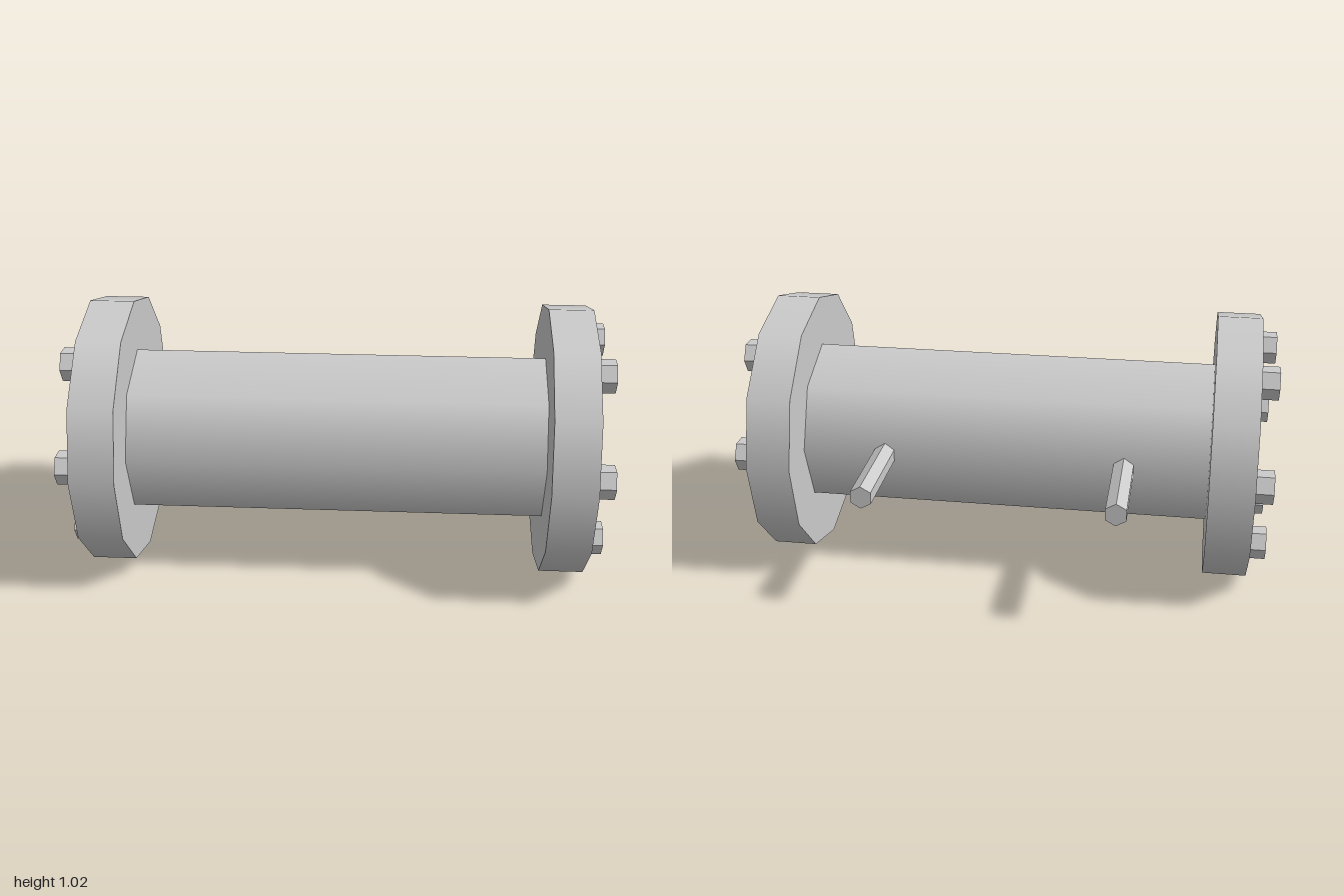
import * as THREE from 'three';

const CY = 0.51, CZ = 0.085; // axis of the pipe

export function createModel() {
  const group = new THREE.Group();
  const smooth = new THREE.MeshStandardMaterial({ color: 0xcccccc });
  const flat = new THREE.MeshStandardMaterial({ color: 0xcccccc, flatShading: true });

  // Cylinder along x, from x0 to x1
  function rodX(name, radius, x0, x1, sides, material, y = CY, z = CZ) {
    const geometry = new THREE.CylinderGeometry(radius, radius, Math.abs(x1 - x0), sides);
    geometry.rotateZ(Math.PI / 2);
    const mesh = new THREE.Mesh(geometry, material);
    mesh.position.set((x0 + x1) / 2, y, z);
    mesh.name = name;
    group.add(mesh);
  }

  // Pipe body
  rodX('pipe', 0.318, -0.77, 0.77, 8, smooth);

  for (const side of [-1, 1]) {
    const label = side > 0 ? 'left' : 'right';

    // End flange
    rodX(label + 'Flange', 0.51, side * 0.767, side * 0.932, 12, smooth);

    // Ring of six hexagonal bolts
    for (let i = 0; i < 6; i++) {
      const a = (i * Math.PI) / 3;
      rodX(label + 'Bolt' + (i + 1), 0.062, side * 0.925, side, 6, flat,
        CY + 0.379 * Math.sin(a), CZ + 0.379 * Math.cos(a));
    }

    // Mounting pin on the back of the pipe
    const pinGeometry = new THREE.CylinderGeometry(0.043, 0.043, 0.39, 6);
    pinGeometry.rotateX(Math.PI / 2);
    const pin = new THREE.Mesh(pinGeometry, flat);
    pin.position.set(side * 0.453, CY, -0.397);
    pin.name = label + 'MountingPin';
    group.add(pin);
  }

  return group;
}
